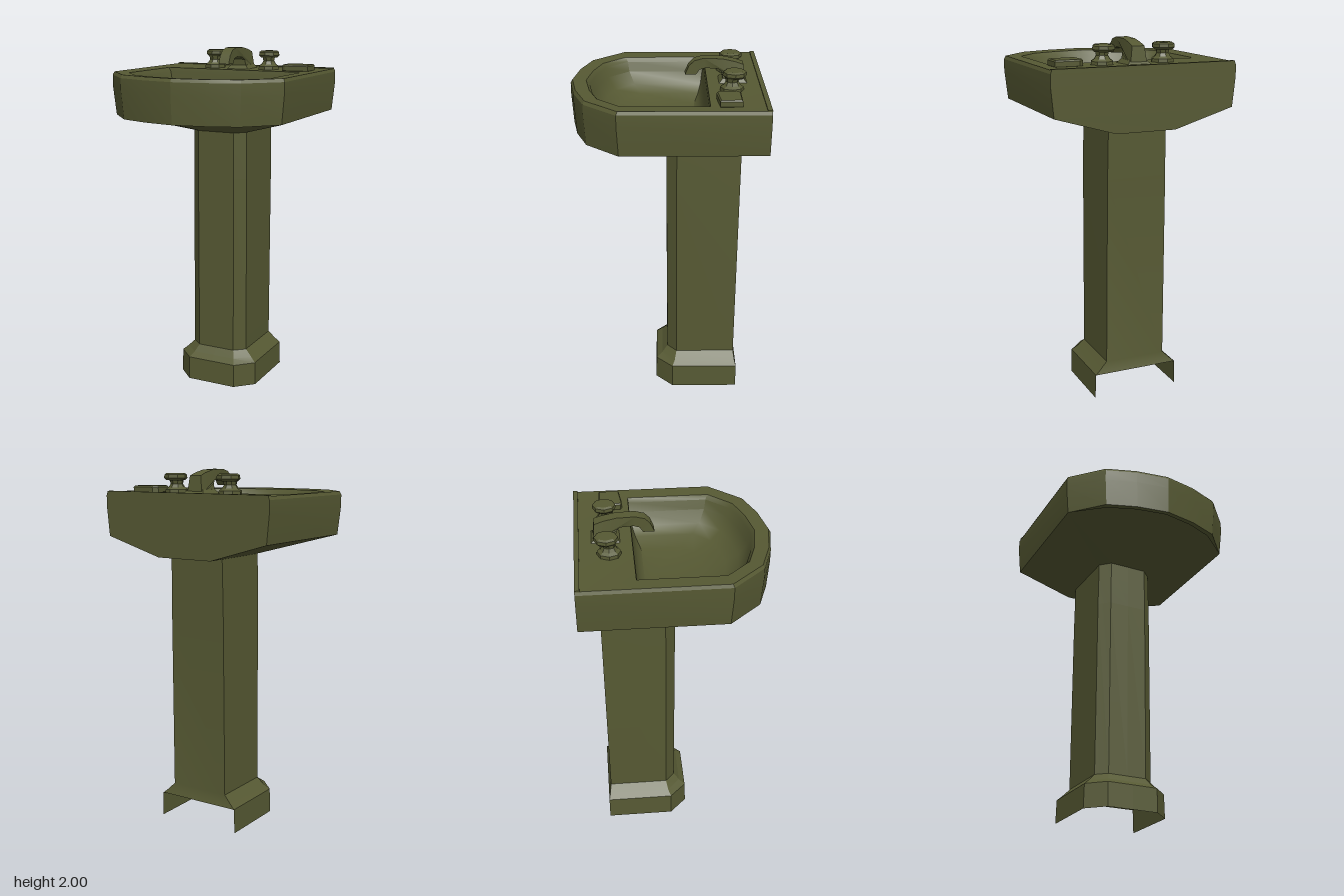
import * as THREE from 'three';
import { toCreasedNormals } from 'three/addons/utils/BufferGeometryUtils.js';

// Mirrors a half outline of [x, z, y?] points (last one on x = 0) into a closed ring.
function ring(half, y, sx = 1, sz = sx, cz = 0) {
  const place = (side) => ([x, z, py]) => [side * x * sx, py ?? y, cz + (z - cz) * sz];
  return [...half.map(place(1)), ...half.slice(0, -1).reverse().map(place(-1))];
}

// Skins equal-length rings, listed from the bottom up; open leaves out the back strip.
function loft(rings, { open = false, crease = 0.5 } = {}) {
  const n = rings[0].length;
  const points = rings.flat().map((p) => new THREE.Vector3(...p));
  const index = [];
  const addFace = (a, b, c) => {
    const area = new THREE.Triangle(points[a], points[b], points[c]).getArea();
    if (area > 1e-9) index.push(a, b, c);
  };
  for (let r = 0; r < rings.length - 1; r++) {
    for (let i = 0; i < (open ? n - 1 : n); i++) {
      const a = r * n + i, b = r * n + (i + 1) % n;
      addFace(a, a + n, b + n);
      addFace(a, b + n, b);
    }
  }
  const geo = new THREE.BufferGeometry().setFromPoints(points);
  geo.setIndex(index);
  return toCreasedNormals(geo, crease);
}

export function createModel() {
  const model = new THREE.Group();
  model.name = 'pedestalSink';
  const olive = new THREE.MeshStandardMaterial({ color: 0x565933, side: THREE.DoubleSide });
  olive.name = 'olive';
  const add = (name, geo, x = 0, y = 0, z = 0) => {
    const mesh = new THREE.Mesh(geo, olive);
    mesh.name = name;
    mesh.position.set(x, y, z);
    model.add(mesh);
    return mesh;
  };

  // Basin outlines, right half from back corner to front centre
  const BACK = -0.525;
  const outline = [[0.527, BACK], [0.527, 0.255], [0.362, 0.432], [0.19, 0.492], [0, 0.523]];
  const bowlRim = [[0.43, -0.22], [0.43, 0.235], [0.31, 0.362], [0.17, 0.41], [0, 0.438]];
  const neck = [[0.17, BACK], [0.17, -0.06], [0.11, 0], [0.055, 0], [0, 0]];
  const shelf = [[0.511, BACK], [0.511, 0.247], [0.3, 0.28], [0.15, 0.29], [0, 0.29]];
  const lip = [[0.511, BACK], [0.511, 0.247], [0.335, 0.395], [0.175, 0.455], [0, 0.485]];
  const recess = lip.map(([x, z], i) => [x, z, i < 2 ? 1.63 : 1.69]);

  // Underside: slopes up from the pedestal, with a recess behind the front lip
  add('basinUnderside', loft([
    ring(neck, 1.53, 0, 0, -0.25),
    ring(neck, 1.53),
    ring(shelf, 1.63),
    ring(recess, 1.63),
    ring(lip, 1.63),
    ring(outline, 1.63, 0.97, 0.99, BACK),
  ], { crease: 0.2 }));

  // Outer wall and flat deck
  add('basinWall', loft([
    ring(outline, 1.63, 0.97, 0.99, BACK),
    ring(outline, 1.79, 1, 1, BACK),
    ring(outline, 1.855, 1, 1, BACK),
    ring(outline, 1.873, 0.985, 0.99, BACK),
    ring(bowlRim, 1.868),
  ], { crease: 0.25 }));

  // Bowl: steep back, softly curved sides and front
  const bowlSteps = [[1, 1.868], [0.965, 1.845], [0.94, 1.79], [0.85, 1.725], [0.72, 1.685],
    [0.5, 1.655], [0.25, 1.642], [0, 1.64]].reverse();
  add('bowl', loft(bowlSteps.map(([s, y]) => ring(bowlRim, y, s, s, -0.1)).reverse(),
    { crease: 0.75 }));

  // Low ridge along the back of the deck
  add('backRidge', new THREE.BoxGeometry(1.04, 0.012, 0.025), 0, 1.872, -0.5125);

  // Pedestal: chamfered front corners, flat back, base open at the back and below
  const section = (y, w, c, front, chamfer, back) =>
    ring([[w, back], [w, chamfer], [c, front], [0, front]], y);
  const baseTop = section(0.138, 0.246, 0.15, 0.06, -0.035, -0.42);
  add('pedestalBase', loft([section(0, 0.25, 0.15, 0.063, -0.035, -0.42), baseTop],
    { open: true, crease: 0.2 }));
  add('pedestalShaft', loft([
    baseTop,
    section(0.165, 0.215, 0.132, 0.025, -0.05, -0.412),
    section(0.205, 0.175, 0.115, -0.006, -0.06, -0.405),
    section(1.26, 0.172, 0.114, 0, -0.056, -0.41),
    section(1.53, 0.168, 0.112, 0, -0.056, -0.412),
  ], { crease: 0.2 }));

  // Spout: side profile as (z, y), extruded across x and flared at its foot
  const profile = [[-0.425, 1.868], [-0.415, 1.965], [-0.37, 1.98], [-0.3, 1.995], [-0.2, 1.998],
    [-0.15, 1.985], [-0.12, 1.955], [-0.1, 1.908], [-0.16, 1.908], [-0.178, 1.935],
    [-0.21, 1.945], [-0.28, 1.94], [-0.3, 1.925], [-0.305, 1.868]];
  const spout = new THREE.ExtrudeGeometry(
    new THREE.Shape(profile.map(([z, y]) => new THREE.Vector2(-z, y))),
    { depth: 0.064, bevelEnabled: false });
  spout.translate(0, 0, -0.032).rotateY(Math.PI / 2);
  const pos = spout.attributes.position;
  for (let i = 0; i < pos.count; i++) {
    const foot = pos.getZ(i) < -0.29 ? Math.max(0, (1.99 - pos.getY(i)) / 0.12) : 0;
    pos.setX(i, pos.getX(i) * (1 + 0.5 * foot));
  }
  add('spout', toCreasedNormals(spout, 0.6));

  // Spout foot: low four-sided plinth
  const plinth = new THREE.CylinderGeometry(0.068, 0.095, 0.024, 4);
  plinth.rotateY(Math.PI / 4);
  add('spoutFoot', toCreasedNormals(plinth, 0.3), 0, 1.88, -0.36).scale.z = 1.15;

  // Taps: flared foot, narrow stem and eight-sided handle
  const tapFoot = [[0.064, 1.866], [0.062, 1.888], [0.045, 1.9], [0.034, 1.918], [0.04, 1.944]];
  const handle = [[0, 1.935], [0.052, 1.938], [0.064, 1.95], [0.062, 1.968], [0.05, 1.976], [0, 1.977]];
  const turned = (points) => toCreasedNormals(
    new THREE.LatheGeometry(points.map(([r, y]) => new THREE.Vector2(r, y)), 8), 0.4);
  for (const [side, name] of [[1, 'left'], [-1, 'right']]) {
    add(name + 'TapFoot', turned(tapFoot), side * 0.176, 0, -0.345);
    add(name + 'TapHandle', turned(handle), side * 0.173, 0, -0.358);
  }

  // Soap bar on the left of the deck
  const soapOutline = [[0.295, 0.265], [0.315, 0.255], [0.45, 0.268], [0.45, 0.383],
    [0.315, 0.383], [0.29, 0.365]];
  const soap = new THREE.ExtrudeGeometry(
    new THREE.Shape(soapOutline.map(([x, y]) => new THREE.Vector2(x, y))),
    { depth: 0.026, bevelThickness: 0.008, bevelSize: 0.006, bevelOffset: -0.006, bevelSegments: 1 });
  soap.rotateX(-Math.PI / 2);
  add('soapBar', toCreasedNormals(soap, 0.3), 0, 1.871, 0);

  return model;
}
